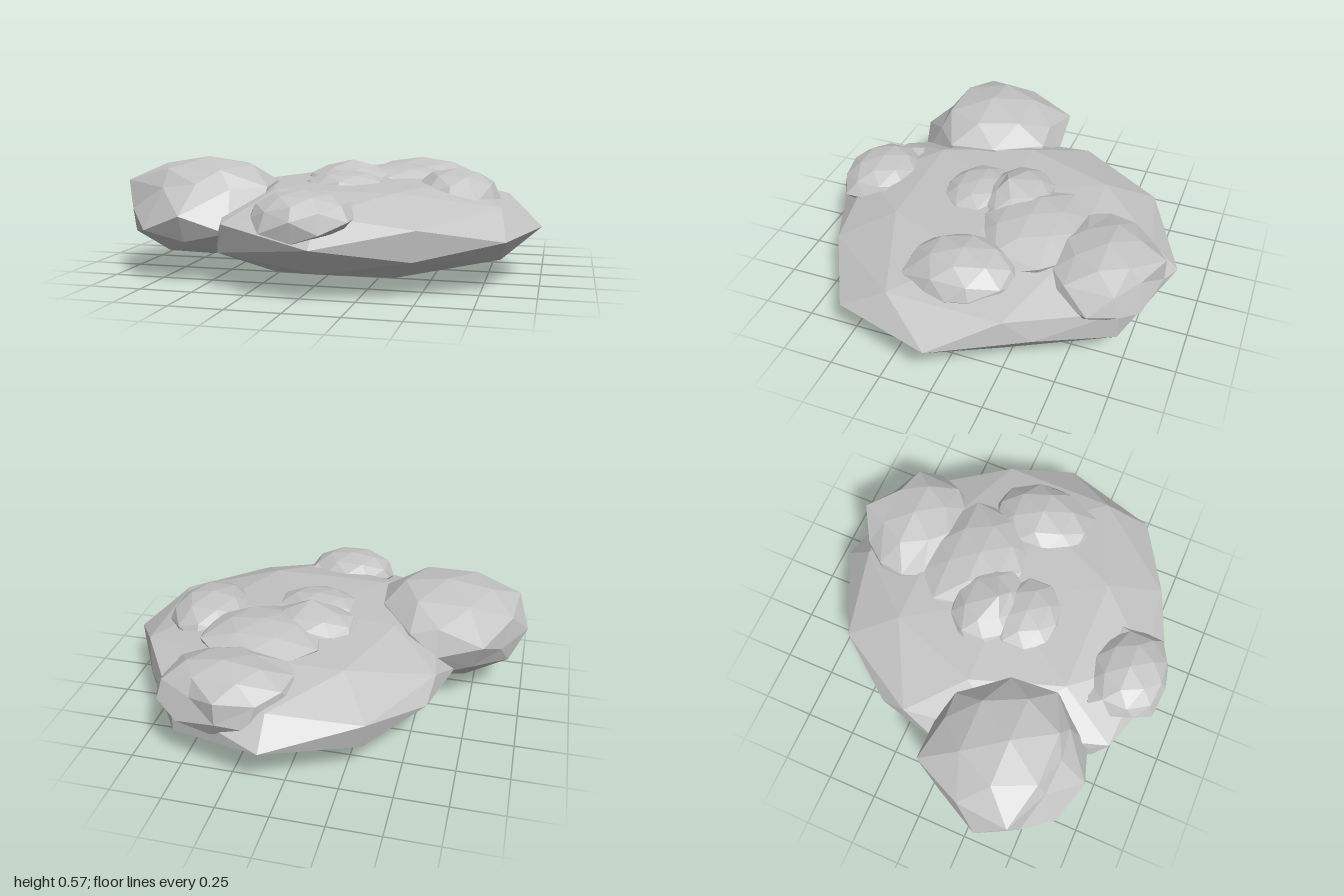
import * as THREE from 'three';

// Faceted boulder: a squashed 42-point sphere. Each entry of moves pulls the
// vertex lying along a unit direction to a chosen point in model space.
function boulder(name, material, centre, radii, moves = []) {
  const geometry = new THREE.IcosahedronGeometry(1, 1);
  const p = geometry.attributes.position;
  const v = new THREE.Vector3();
  const c = new THREE.Vector3(...centre);
  const r = new THREE.Vector3(...radii);
  const pulls = moves.map(([dir, to]) => [new THREE.Vector3(...dir).normalize(), to]);
  for (let i = 0; i < p.count; i++) {
    v.fromBufferAttribute(p, i).normalize();
    const pull = pulls.find(([dir]) => dir.dot(v) > 0.97);
    if (pull) v.set(...pull[1]);
    else v.multiply(r).add(c);
    p.setXYZ(i, v.x, v.y, v.z);
  }
  geometry.computeVertexNormals(); // unshared corners give flat facets
  const mesh = new THREE.Mesh(geometry, material);
  mesh.name = name;
  return mesh;
}

export function createModel() {
  const group = new THREE.Group();
  group.name = 'rockPile';
  const stone = new THREE.MeshStandardMaterial({ color: 0xc4c4c4 });
  stone.name = 'stoneGrey';

  // Wide flat slab, narrowed on its right-hand (-x) side
  group.add(boulder('baseSlab', stone, [0.08, 0.24, 0], [0.92, 0.24, 0.89], [
    [[0, 1, 0], [0.08, 0.46, 0]],
    [[0, -1, 0], [0.08, 0, 0.02]],
    [[1, 0, 0], [1, 0.24, 0.02]],
    [[-1, 0, 0], [-0.67, 0.24, 0]],
    [[-0.85, 0, -0.526], [-0.58, 0.25, -0.37]],
    [[-0.85, 0, 0.526], [-0.48, 0.2, 0.5]],
    [[-0.809, 0.5, -0.309], [-0.6, 0.34, -0.24]],
    [[-0.809, 0.5, 0.309], [-0.53, 0.35, 0.25]],
    [[-0.809, -0.5, -0.309], [-0.54, 0.13, -0.22]],
    [[-0.809, -0.5, 0.309], [-0.46, 0.12, 0.25]],
    [[-0.5, 0.309, -0.809], [-0.35, 0.31, -0.67]],
    [[-0.5, -0.309, -0.809], [-0.33, 0.17, -0.64]],
    [[-0.5, 0.309, 0.809], [-0.36, 0.31, 0.74]],
    [[-0.5, -0.309, 0.809], [-0.4, 0.17, 0.68]],
    [[0.5, 0.309, 0.809], [0.5, 0.31, 0.7]],
    [[0.5, -0.309, 0.809], [0.48, 0.17, 0.69]],
    [[0.85, 0, 0.526], [0.86, 0.24, 0.5]],
    [[-0.526, -0.85, 0], [-0.33, 0.055, 0]],
    [[-0.526, 0.85, 0], [-0.36, 0.44, 0]],
    [[0.526, -0.85, 0], [0.42, 0.04, 0]],
    [[0.85, 0, -0.526], [0.77, 0.24, -0.4]],
    [[0.809, -0.5, -0.309], [0.74, 0.12, -0.25]],
    [[0, -0.526, -0.85], [0.08, 0.12, -0.67]],
  ]));

  // Large boulder overhanging the right-hand edge
  group.add(boulder('largeSideBoulder', stone, [-0.58, 0.33, 0.31], [0.42, 0.24, 0.39], [
    [[1, 0, 0], [-0.25, 0.33, 0.31]],
    [[0.85, 0, 0.526], [-0.27, 0.33, 0.5]],
    [[0.85, 0, -0.526], [-0.36, 0.35, 0.02]],
    [[0.809, 0.5, 0.309], [-0.25, 0.44, 0.42]],
    [[0.809, 0.5, -0.309], [-0.27, 0.45, 0.19]],
    [[-0.809, 0.5, 0.309], [-0.94, 0.46, 0.45]],
    [[-0.85, 0, 0.526], [-0.9, 0.33, 0.5]],
    [[-0.85, 0, -0.526], [-0.88, 0.33, 0.08]],
    [[-0.526, -0.85, 0], [-0.72, 0.14, 0.31]],
    [[-0.5, 0.309, -0.809], [-0.8, 0.41, -0.07]],
    [[-0.5, -0.309, -0.809], [-0.75, 0.27, -0.02]],
    [[0.5, 0.309, -0.809], [-0.44, 0.42, -0.03]],
    [[0, 0.526, 0.85], [-0.55, 0.46, 0.56]],
    [[-0.5, 0.309, 0.809], [-0.72, 0.44, 0.55]],
    [[0.5, 0.309, 0.809], [-0.39, 0.44, 0.54]],
    [[-0.5, -0.309, 0.809], [-0.78, 0.25, 0.64]],
    [[0.5, -0.309, 0.809], [-0.37, 0.25, 0.64]],
  ]));

  // Small boulder on the front rim
  group.add(boulder('frontBoulder', stone, [0, 0.355, 0.69], [0.235, 0.115, 0.2], [
    [[0.85, 0, 0.526], [0.23, 0.35, 0.8]],
    [[0.5, -0.309, 0.809], [0.12, 0.3, 0.87]],
    [[-0.5, -0.309, 0.809], [-0.14, 0.3, 0.88]],
    [[0, -0.526, 0.85], [0, 0.26, 0.87]],
    [[-0.85, 0, -0.526], [-0.23, 0.4, 0.57]],
    [[0.85, 0, -0.526], [0.21, 0.4, 0.56]],
  ]));

  // Two low lobes in the middle, the rear one peaked
  group.add(boulder('centreRearBoulder', stone, [0.04, 0.42, -0.07], [0.24, 0.1, 0.18], [
    [[0, 1, 0], [0.06, 0.54, -0.02]],
  ]));
  group.add(boulder('centreFrontBoulder', stone, [0.06, 0.41, 0.13], [0.22, 0.09, 0.18]));

  // Broad boulder between centre and back
  group.add(boulder('innerBackBoulder', stone, [0.25, 0.4, -0.2], [0.31, 0.11, 0.26], [
    [[-0.809, 0.5, -0.309], [-0.05, 0.45, -0.33]],
    [[0.809, 0.5, -0.309], [0.53, 0.44, -0.34]],
    [[-0.5, 0.309, -0.809], [0.08, 0.43, -0.45]],
    [[0.5, 0.309, -0.809], [0.42, 0.42, -0.43]],
    [[0.5, 0.309, 0.809], [0.37, 0.44, 0]],
  ]));

  // Boulder on the back rim
  group.add(boulder('backBoulder', stone, [0.32, 0.34, -0.6], [0.33, 0.17, 0.25], [
    [[0, 0, -1], [0.28, 0.34, -0.86]],
    [[0, 0.526, -0.85], [0.28, 0.45, -0.86]],
    [[0, 0.526, 0.85], [0.3, 0.46, -0.4]],
    [[0.85, 0, -0.526], [0.6, 0.34, -0.73]],
    [[0.809, 0.5, -0.309], [0.58, 0.43, -0.7]],
    [[0.809, 0.5, 0.309], [0.57, 0.42, -0.47]],
    [[0.85, 0, 0.526], [0.55, 0.33, -0.38]],
    [[0.809, -0.5, -0.309], [0.55, 0.24, -0.62]],
    [[0.5, 0.309, 0.809], [0.48, 0.42, -0.39]],
    [[0.5, 0.309, -0.809], [0.42, 0.41, -0.78]],
    [[-0.5, 0.309, -0.809], [0.12, 0.4, -0.77]],
    [[-0.5, 0.309, 0.809], [0.05, 0.43, -0.43]],
    [[-0.809, 0.5, -0.309], [0.03, 0.42, -0.66]],
    [[-0.809, 0.5, 0.309], [0.01, 0.43, -0.53]],
    [[-0.85, 0, -0.526], [0.06, 0.34, -0.7]],
  ]));

  // Boulder on the left-hand (+x) shoulder
  group.add(boulder('leftBoulder', stone, [0.58, 0.37, 0], [0.22, 0.14, 0.27], [
    [[0.5, 0.309, 0.809], [0.71, 0.38, 0.26]],
    [[0.85, 0, 0.526], [0.78, 0.36, 0.12]],
    [[0.85, 0, -0.526], [0.78, 0.38, -0.1]],
    [[-0.809, 0.5, 0.309], [0.4, 0.43, 0.08]],
  ]));

  return group;
}
